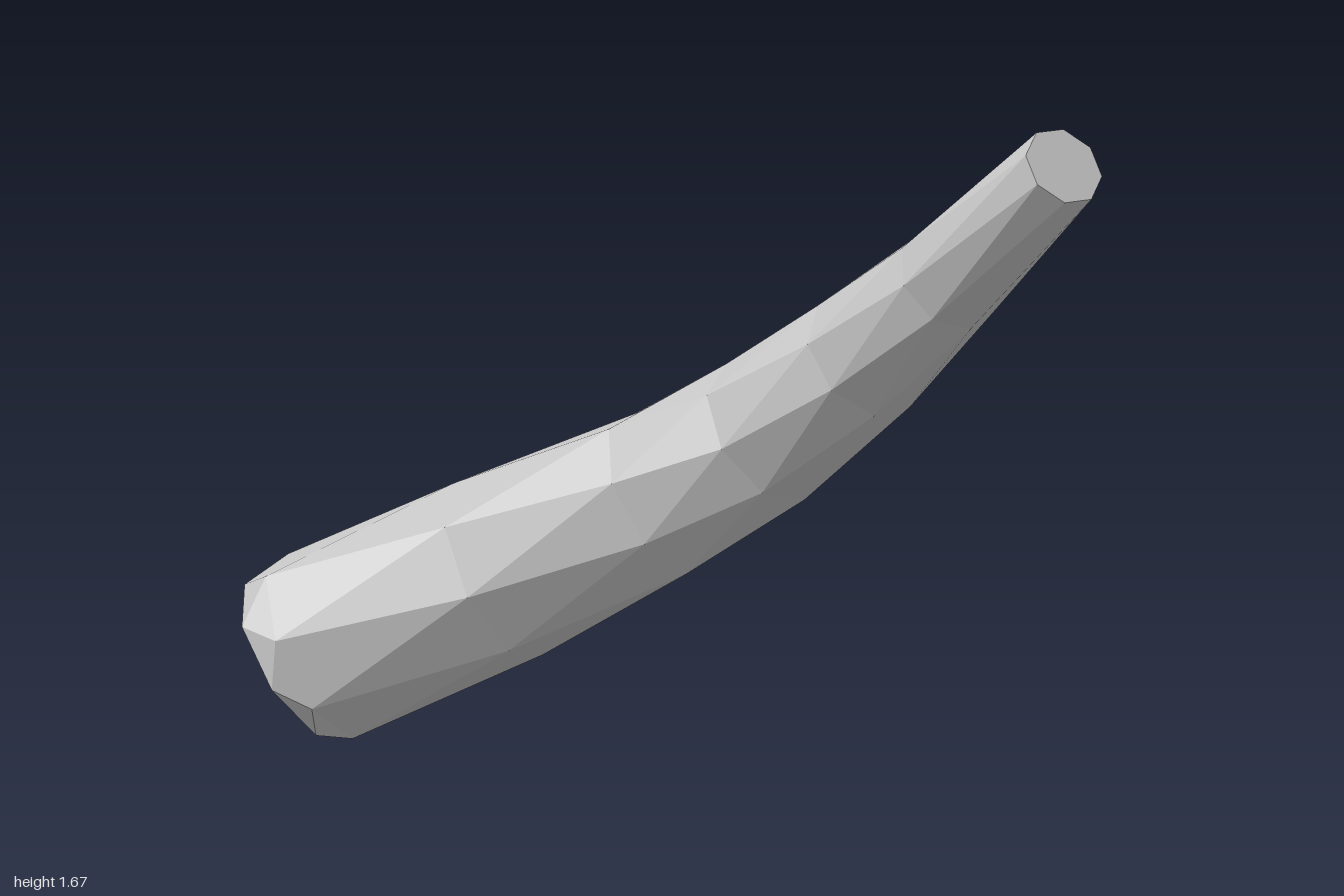
import * as THREE from 'three';

const SIDES = 8;

// Cross-sections from the wide base to the narrow tip: x, y, z, radius
const SECTIONS = [
  [-0.90, 0.21, -0.32, 0.22],
  [-0.84, 0.25, -0.32, 0.238],
  [-0.40, 0.47, -0.305, 0.228],
  [0.00, 0.70, -0.225, 0.202],
  [0.25, 0.88, -0.14, 0.177],
  [0.485, 1.10, 0.0, 0.15],
  [0.685, 1.325, 0.185, 0.121],
  [0.937, 1.635, 0.48, 0.087],
];

// Faceted tube: each ring is turned half a step against the one before it
function hornGeometry() {
  const centres = SECTIONS.map(([x, y, z]) => new THREE.Vector3(x, y, z));
  const last = centres.length - 1;
  const positions = [], index = [];
  const id = (ring, j) => ring * SIDES + (j % SIDES);

  centres.forEach((c, i) => {
    const along = centres[Math.min(i + 1, last)].clone().sub(centres[Math.max(i - 1, 0)]).normalize();
    const side = along.clone().cross(new THREE.Vector3(0, 1, 0)).normalize();
    const up = side.clone().cross(along);
    for (let j = 0; j < SIDES; j++) {
      const a = (j + i / 2) / SIDES * Math.PI * 2;
      const r = SECTIONS[i][3];
      const p = c.clone().addScaledVector(up, r * Math.cos(a)).addScaledVector(side, r * Math.sin(a));
      positions.push(p.x, p.y, p.z);
    }
  });

  for (let i = 0; i < last; i++) {
    for (let j = 0; j < SIDES; j++) {
      index.push(id(i, j), id(i, j + 1), id(i + 1, j));
      index.push(id(i, j + 1), id(i + 1, j + 1), id(i + 1, j));
    }
  }
  // Flat end caps
  for (let j = 1; j < SIDES - 1; j++) {
    index.push(id(0, 0), id(0, j + 1), id(0, j));
    index.push(id(last, 0), id(last, j), id(last, j + 1));
  }

  const indexed = new THREE.BufferGeometry();
  indexed.setAttribute('position', new THREE.Float32BufferAttribute(positions, 3));
  indexed.setIndex(index);
  const geometry = indexed.toNonIndexed();
  geometry.computeVertexNormals();

  // Centre over the origin and rest on the ground
  geometry.computeBoundingBox();
  const { min, max } = geometry.boundingBox;
  geometry.translate(-(min.x + max.x) / 2, -min.y, -(min.z + max.z) / 2);
  return geometry;
}

export function createModel() {
  const group = new THREE.Group();
  group.name = 'curvedHorn';
  const grey = new THREE.MeshStandardMaterial({ color: 0xc4c4c4, flatShading: true });
  grey.name = 'light grey';
  const horn = new THREE.Mesh(hornGeometry(), grey);
  horn.name = 'horn';
  group.add(horn);
  return group;
}
